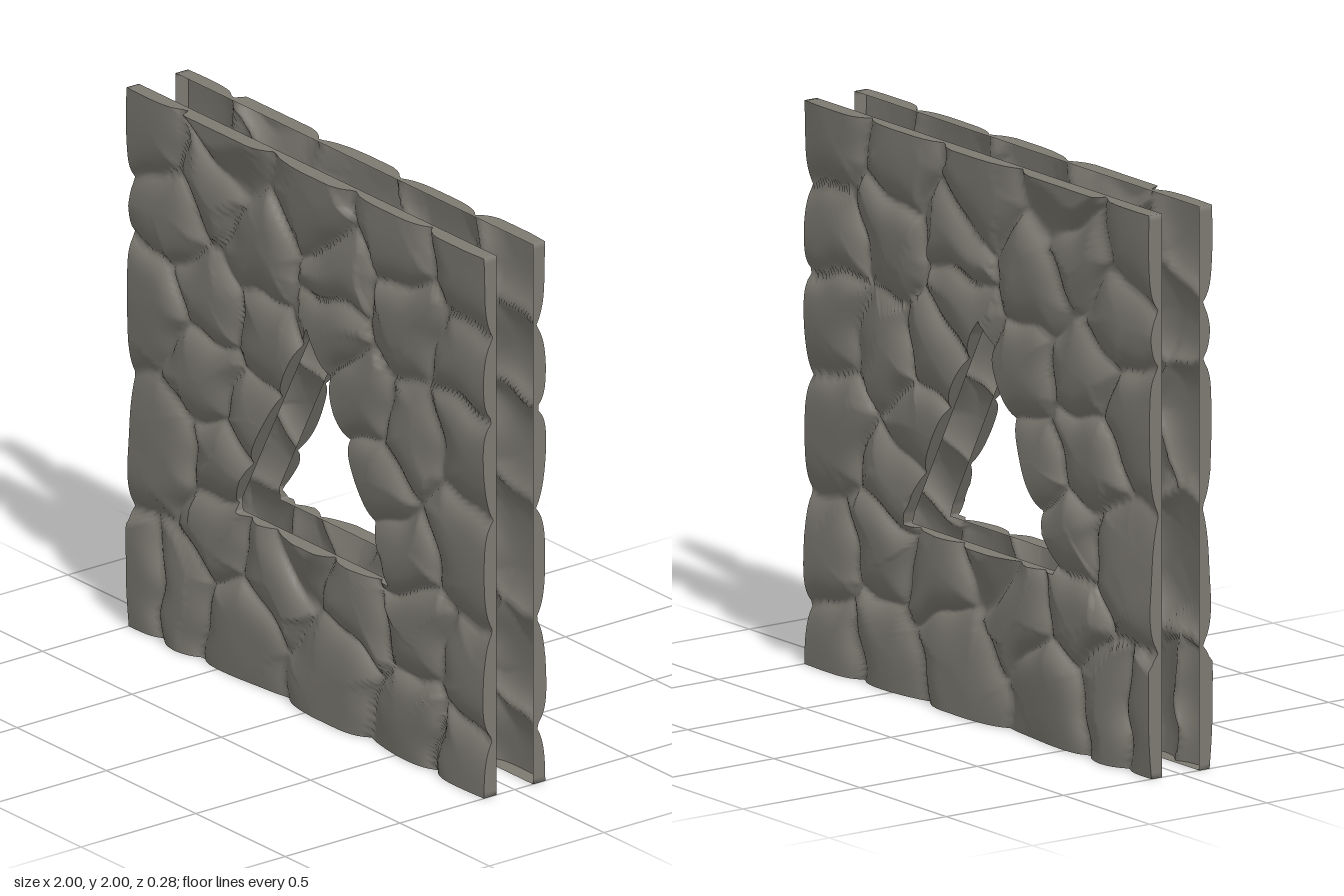
import * as THREE from 'three';

// Stone centres: x, y and optional vertical tilt
const STONES = [
  [-0.87, 1.88], [-0.46, 1.94, 0.35], [-0.58, 1.77], [0.02, 1.85], [0.49, 1.88], [0.88, 1.88],
  [-0.76, 1.58], [-0.28, 1.6], [0.13, 1.66], [0.54, 1.64], [0.88, 1.56],
  [-0.91, 1.22], [-0.57, 1.35], [-0.59, 1.07], [-0.24, 1.28], [0.12, 1.45], [0.27, 1.23],
  [0.54, 1.18], [0.87, 1.26],
  [-0.83, 0.7], [-0.5, 0.75], [-0.3, 0.95], [0.4, 0.99], [0.52, 0.75], [0.84, 0.84],
  [-0.49, 0.52], [-0.22, 0.45], [-0.04, 0.6, 0.3], [0.25, 0.47], [0.6, 0.5], [0.9, 0.38],
  [-0.95, 0.17], [-0.74, 0.19], [-0.42, 0.17], [0.14, 0.19], [0.58, 0.13], [0.87, 0.1],
];

// Triangular opening with nipped corners, listed anticlockwise
const HOLE = [
  [-0.415, 0.605], [0.445, 0.605], [0.43, 0.65], [0.04, 1.365], [0, 1.42], [-0.04, 1.365], [-0.42, 0.65],
];
const CENTRE = [0, 0.85];
const BACK = 0.08;
const AROUND = 400, ACROSS = 60;

// Relief: domed stones divided by grooves
function relief(x, y) {
  const px = x + 0.018 * Math.sin(y * 13 + 1) + 0.008 * Math.sin(y * 29 + x * 9);
  const py = y + 0.018 * Math.sin(x * 12 + 2) + 0.008 * Math.sin(x * 27 - y * 8);
  let a = null, b = null, da = Infinity, db = Infinity;
  for (const s of STONES) {
    const d = (px - s[0]) ** 2 + (py - s[1]) ** 2;
    if (d < da) { b = a; db = da; a = s; da = d; } else if (d < db) { b = s; db = d; }
  }
  const edge = (db - da) / (2 * Math.hypot(a[0] - b[0], a[1] - b[1]));
  const rise = 1 - Math.exp(-edge / 0.04);
  const i = STONES.indexOf(a);
  const lean = 0.05 * Math.sin(i * 4.7) * (px - a[0]) + (a[2] ?? 0.05 * Math.sin(i * 2.9)) * (py - a[1]);
  const z = 0.093 + rise * (0.046 - 0.16 * da + lean);
  return Math.min(0.14, Math.max(BACK + 0.003, z));
}

// Evenly spaced points anticlockwise along the square border
function squarePoint(i) {
  const side = Math.floor(i / (AROUND / 4));
  const t = (i % (AROUND / 4)) / (AROUND / 4) * 2 - 1;
  const [x, y] = [[t, -1], [1, t], [-t, 1], [-1, -t]][side];
  return [x, y + 1];
}

// Where the ray from the centre towards p meets the opening
function holePoint(p) {
  const dx = p[0] - CENTRE[0], dy = p[1] - CENTRE[1];
  let best = Infinity;
  HOLE.forEach((a, i) => {
    const b = HOLE[(i + 1) % HOLE.length];
    const ex = b[0] - a[0], ey = b[1] - a[1];
    const ax = a[0] - CENTRE[0], ay = a[1] - CENTRE[1];
    const det = dx * ey - dy * ex;
    const t = (ax * ey - ay * ex) / det, u = (ax * dy - ay * dx) / det;
    if (t > 0 && u >= -1e-6 && u <= 1 + 1e-6) best = Math.min(best, t);
  });
  return [CENTRE[0] + dx * best, CENTRE[1] + dy * best];
}

// Surface from closed loops of points
function loft(loops) {
  const n = loops[0].length, index = [];
  for (let j = 0; j < loops.length - 1; j++) {
    for (let i = 0; i < n; i++) {
      const k = (i + 1) % n;
      const a = j * n + i, b = j * n + k, c = a + n, d = b + n;
      index.push(a, c, d, a, d, b);
    }
  }
  const geometry = new THREE.BufferGeometry();
  geometry.setAttribute('position', new THREE.Float32BufferAttribute(loops.flat(2), 3));
  geometry.setIndex(index);
  geometry.computeVertexNormals();
  return geometry;
}

export function createModel() {
  const stone = new THREE.MeshStandardMaterial({ color: 0x7d7a72, side: THREE.DoubleSide });
  stone.name = 'grey stone';

  // Matching outer and inner outlines, with the opening's corners kept exact
  const outer = Array.from({ length: AROUND }, (_, i) => squarePoint(i));
  const inner = outer.map(holePoint);
  for (const corner of HOLE) {
    let near = 0;
    inner.forEach((p, i) => {
      const d = (q) => Math.hypot(q[0] - corner[0], q[1] - corner[1]);
      if (d(p) < d(inner[near])) near = i;
    });
    inner[near] = corner;
  }

  // Stone face, lofted from the opening out to the border
  const loops = [];
  for (let j = 0; j <= ACROSS; j++) {
    const t = j / ACROSS;
    loops.push(outer.map((o, i) => {
      const x = inner[i][0] + (o[0] - inner[i][0]) * t;
      const y = inner[i][1] + (o[1] - inner[i][1]) * t;
      return [x, y, relief(x, y)];
    }));
  }
  const toBack = (loop) => loop.map(([x, y]) => [x, y, BACK]);
  const parts = {
    stoneFace: loft(loops),
    outerRim: loft([loops[ACROSS], toBack(loops[ACROSS])]),
    openingRim: loft([toBack(loops[0]), loops[0]]),
  };

  // Front wall and its mirror image behind
  const model = new THREE.Group();
  model.name = 'stoneWallWithTriangularOpening';
  for (const [name, sign] of [['frontWall', 1], ['backWall', -1]]) {
    const wall = new THREE.Group();
    wall.name = name;
    for (const [part, geometry] of Object.entries(parts)) {
      const mesh = new THREE.Mesh(geometry, stone);
      mesh.name = part;
      wall.add(mesh);
    }
    wall.scale.z = sign;
    model.add(wall);
  }
  return model;
}
